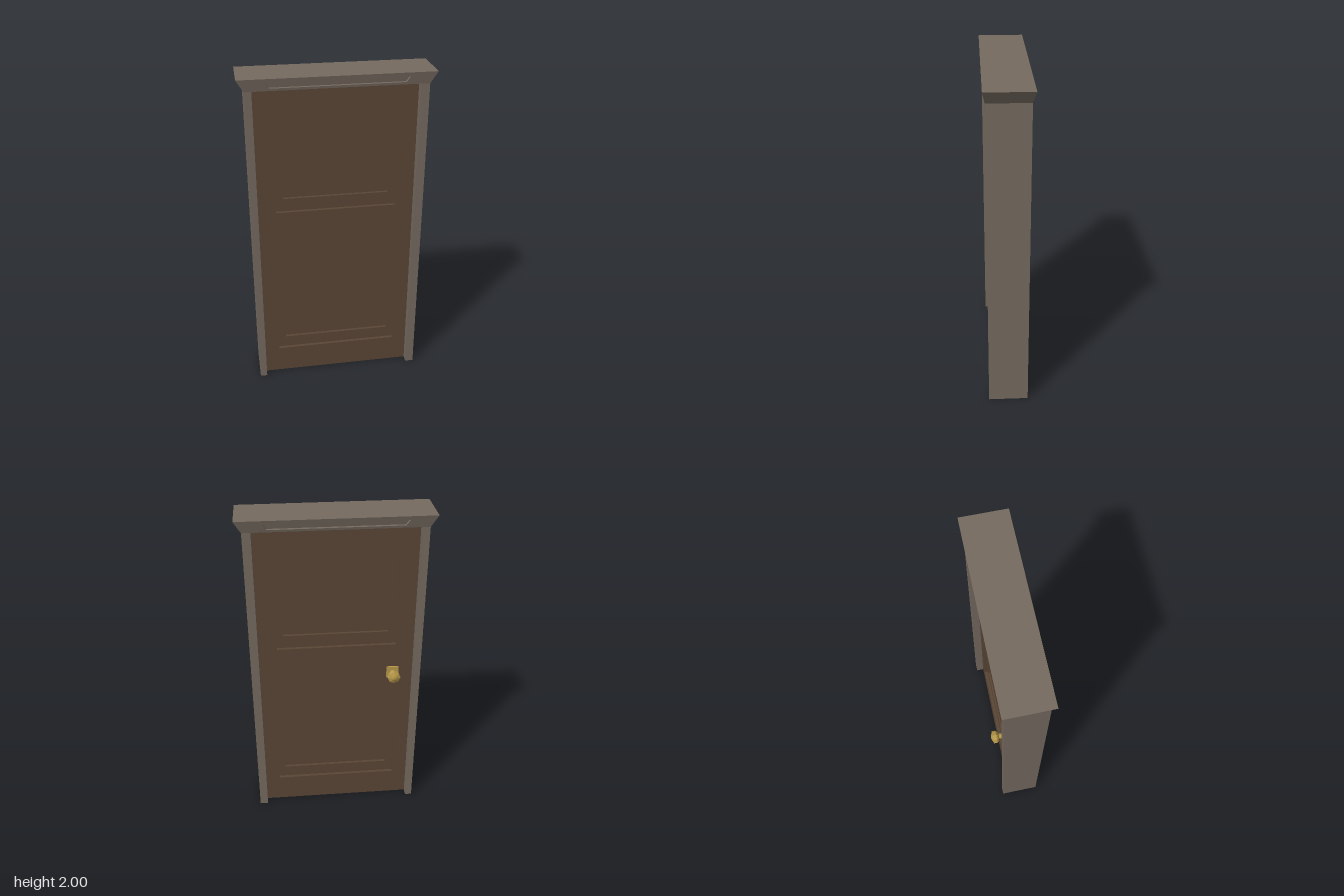
import * as THREE from 'three';

const mat = (color) => new THREE.MeshStandardMaterial({ color, flatShading: true });
const MID = 0.013; // z of the middle of the door leaf

function rectPoints([x0, x1, y0, y1], T) {
  return new T([[x0, y0], [x1, y0], [x1, y1], [x0, y1]].map(([x, y]) => new THREE.Vector2(x, y)));
}

// Rectangular slab with rectangular openings, centred on the leaf
function slab(name, outer, holes, thickness, material) {
  const shape = rectPoints(outer, THREE.Shape);
  shape.holes = holes.map((h) => rectPoints(h, THREE.Path));
  const geo = new THREE.ExtrudeGeometry(shape, { depth: thickness, bevelEnabled: false });
  geo.translate(0, 0, MID - thickness / 2);
  const mesh = new THREE.Mesh(geo, material);
  mesh.name = name;
  return mesh;
}

function box(name, x0, x1, y0, y1, z0, z1, material) {
  const mesh = new THREE.Mesh(new THREE.BoxGeometry(x1 - x0, y1 - y0, z1 - z0), material);
  mesh.position.set((x0 + x1) / 2, (y0 + y1) / 2, (z0 + z1) / 2);
  mesh.name = name;
  return mesh;
}

// Flared cornice with a shallow recess in its front and back slopes
function corniceGeometry() {
  const pos = [];
  const quad = (a, b, c, d) => pos.push(...a, ...b, ...c, ...a, ...c, ...d);
  const yB = 1.93, yT = 2, xB = 0.515, xT = 0.555;
  const zs = { 1: [0.133, 0.147], [-1]: [-0.107, -0.124] };
  for (const s of [1, -1]) {
    const [zB, zT] = zs[s];
    const at = (x, y, depth = 0) => [s * x, y, zB + (zT - zB) * (y - yB) / (yT - yB) - s * depth];
    const outer = [at(-xB, yB), at(xB, yB), at(xT, yT), at(-xT, yT)];
    const ring = (d) => [at(-0.38, 1.944, d), at(0.38, 1.944, d), at(0.4, 1.976, d), at(-0.4, 1.976, d)];
    const rim = ring(0), floor = ring(0.018);
    for (let i = 0; i < 4; i++) {
      const j = (i + 1) % 4;
      quad(outer[i], outer[j], rim[j], rim[i]);
      quad(rim[i], rim[j], floor[j], floor[i]);
    }
    quad(...floor);
    // end slope on this side
    const [fB, fT] = zs[1], [bB, bT] = zs[-1];
    const end = [[s * xB, yB, fB], [s * xB, yB, bB], [s * xT, yT, bT], [s * xT, yT, fT]];
    quad(...(s > 0 ? end : end.reverse()));
  }
  const [fB, fT] = zs[1], [bB, bT] = zs[-1];
  quad([-xT, yT, fT], [xT, yT, fT], [xT, yT, bT], [-xT, yT, bT]);
  quad([-xB, yB, bB], [xB, yB, bB], [xB, yB, fB], [-xB, yB, fB]);
  const geo = new THREE.BufferGeometry();
  geo.setAttribute('position', new THREE.Float32BufferAttribute(pos, 3));
  geo.computeVertexNormals();
  return geo;
}

export function createModel() {
  const model = new THREE.Group();
  model.name = 'door';
  const frameMat = mat(0x766b60), woodMat = mat(0x5a4636), brassMat = mat(0xb89a4a);

  // Frame
  const frame = new THREE.Group();
  frame.name = 'frame';
  frame.add(box('leftJamb', 0.465, 0.515, 0, 1.93, -0.107, 0.133, frameMat));
  frame.add(box('rightJamb', -0.515, -0.473, 0, 1.93, -0.107, 0.133, frameMat));
  const cornice = new THREE.Mesh(corniceGeometry(), frameMat);
  cornice.name = 'cornice';
  frame.add(cornice);
  model.add(frame);

  // Leaf: each nested slab is thinner, giving stepped panels on both faces
  const panels = [
    { outer: [-0.365, 0.355, 1.17, 1.73], inner: [-0.32, 0.315, 1.25, 1.645] },
    { outer: [-0.38, 0.375, 0.175, 0.795], inner: [-0.335, 0.335, 0.25, 0.715] },
  ];
  const leaf = new THREE.Group();
  leaf.name = 'leaf';
  leaf.add(slab('leafFrame', [-0.473, 0.465, 0, 1.93], panels.map((p) => p.outer), 0.146, woodMat));
  for (const p of panels) {
    leaf.add(slab('panelBorder', p.outer, [p.inner], 0.106, woodMat));
    leaf.add(slab('panelCentre', p.inner, [], 0.07, woodMat));
  }
  model.add(leaf);

  // Knob on the back face
  const handle = new THREE.Group();
  handle.name = 'handle';
  handle.position.set(-0.35, 0.978, -0.06);
  handle.add(box('knobPlate', -0.037, 0.037, -0.037, 0.037, -0.01, 0.005, brassMat));
  const profile = [[0.016, 0], [0.016, 0.04], [0.03, 0.046], [0.039, 0.056], [0.039, 0.076], [0.012, 0.087], [0, 0.089]];
  const knobGeo = new THREE.LatheGeometry(profile.map(([r, y]) => new THREE.Vector2(r, y)), 8);
  knobGeo.rotateX(-Math.PI / 2);
  const knob = new THREE.Mesh(knobGeo, brassMat);
  knob.name = 'knob';
  handle.add(knob);
  model.add(handle);

  return model;
}
